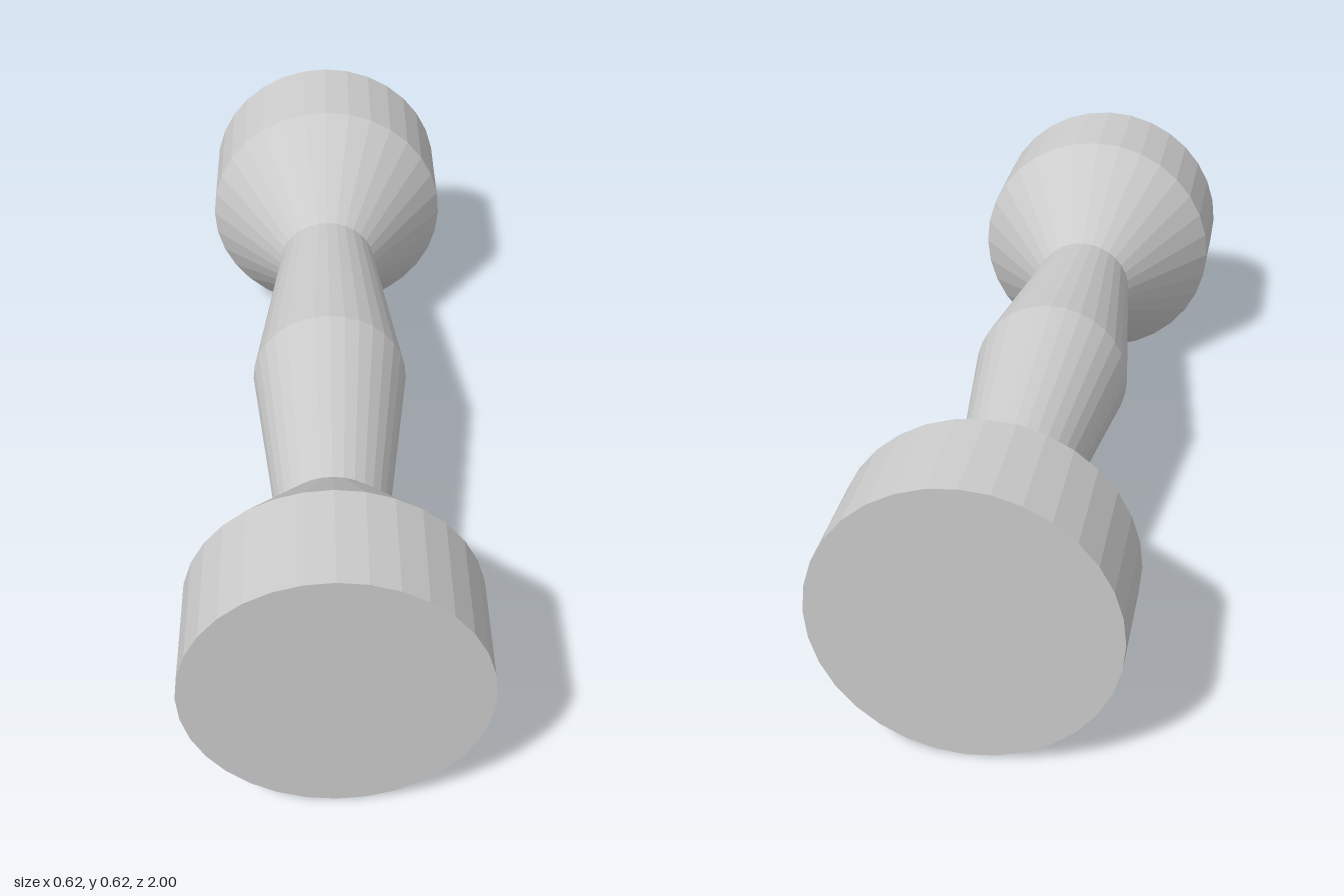
import * as THREE from 'three';

const SIDES = 32;
const RADIUS = 0.311;

export function createModel() {
  const model = new THREE.Group();
  model.name = 'dumbbell';
  const material = new THREE.MeshStandardMaterial({ color: 0xcccccc, flatShading: true });

  // Turn a [radius, z] profile around the z axis
  const turned = (name, profile) => {
    const points = profile.map(([r, z]) => new THREE.Vector2(r, z));
    const geometry = new THREE.LatheGeometry(points, SIDES).rotateX(Math.PI / 2);
    const mesh = new THREE.Mesh(geometry, material);
    mesh.name = name;
    mesh.position.y = RADIUS;
    model.add(mesh);
    return mesh;
  };

  // Grip, swelling to the middle
  turned('grip', [[0.123, -0.5], [0.184, 0], [0.123, 0.5]]);

  // Weights: a cone flaring into a flat-ended drum, one at each end
  const weight = [[0.123, 0.5], [RADIUS, 0.75], [RADIUS, 1], [0, 1]];
  turned('frontWeight', weight);
  turned('backWeight', weight).rotation.y = Math.PI;

  return model;
}
